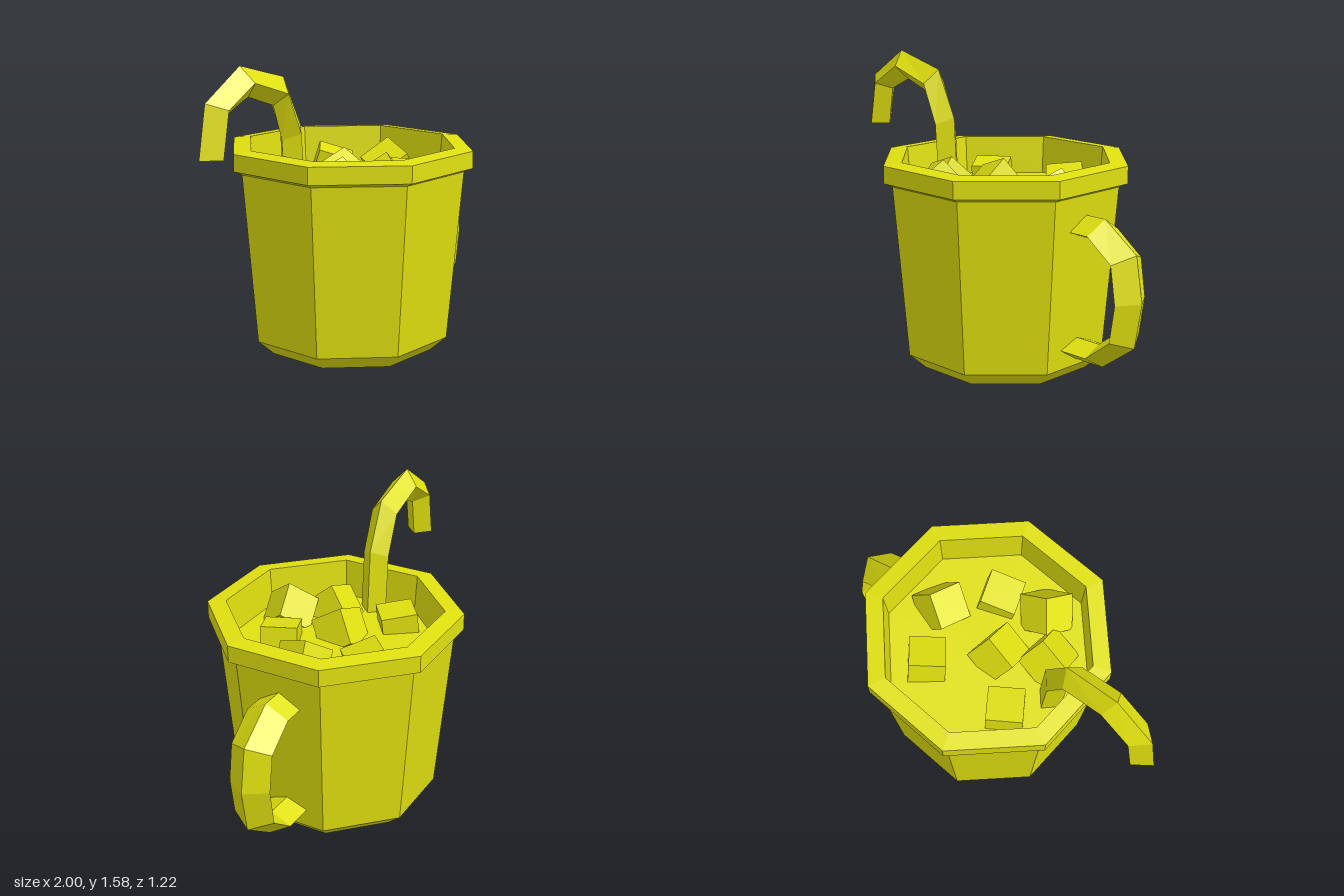
import * as THREE from 'three';

const yellow = new THREE.MeshStandardMaterial({ color: 0xe0e010 });
yellow.name = 'yellow';
yellow.flatShading = true;

const CENTRE_X = 0.08;
const LIQUID_Y = 0.9;
const OCT = 1 / Math.cos(Math.PI / 8); // flat-side distance to corner radius

function addMesh(parent, name, geometry) {
  const mesh = new THREE.Mesh(geometry, yellow);
  mesh.name = name;
  parent.add(mesh);
  return mesh;
}

// Eight-sided solid from [flat-side distance, height] pairs
function octagonLathe(profile) {
  const points = profile.map(([r, y]) => new THREE.Vector2(r * OCT, y));
  return new THREE.LatheGeometry(points, 8, Math.PI / 8);
}

// Diamond-section bar; each row holds outer, side and inner edge points in x, y
function diamondBar(rows, halfWidth) {
  const rings = rows.map(([ox, oy, sx, sy, ix, iy]) => [
    [ox, oy, 0], [sx, sy, halfWidth], [ix, iy, 0], [sx, sy, -halfWidth],
  ]);
  const positions = [];
  const quad = (a, b, c, d) => positions.push(...a, ...b, ...c, ...a, ...c, ...d);
  for (let i = 0; i < rings.length - 1; i++) {
    for (let k = 0; k < 4; k++) {
      const n = (k + 1) % 4;
      quad(rings[i][k], rings[i][n], rings[i + 1][n], rings[i + 1][k]);
    }
  }
  const [a, b, c, d] = rings[0];
  quad(d, c, b, a);
  quad(...rings[rings.length - 1]);
  const geometry = new THREE.BufferGeometry();
  geometry.setAttribute('position', new THREE.Float32BufferAttribute(positions, 3));
  geometry.computeVertexNormals();
  return geometry;
}

export function createModel() {
  const model = new THREE.Group();
  model.name = 'icedDrinkMug';

  // Tapered cup with a chamfered foot, and a projecting rim with inner wall
  const cup = addMesh(model, 'cup', octagonLathe([
    [0, 0], [0.415, 0], [0.497, 0.08], [0.568, 0.98],
  ]));
  const rim = addMesh(model, 'rim', octagonLathe([
    [0.568, 0.98], [0.61, 1.0], [0.61, 1.09], [0.52, 1.1], [0.505, LIQUID_Y - 0.01],
  ]));
  cup.position.x = rim.position.x = CENTRE_X;

  // Drink surface
  const liquid = addMesh(model, 'drinkSurface',
    new THREE.CircleGeometry(0.507 * OCT, 8, Math.PI / 8));
  liquid.rotation.x = -Math.PI / 2;
  liquid.position.set(CENTRE_X, LIQUID_Y, 0);

  // Handle: upper half mirrored about its mid height
  const upper = [
    [0.58, 0.875, 0.58, 0.805, 0.58, 0.76],
    [0.76, 0.875, 0.745, 0.805, 0.735, 0.76],
    [0.96, 0.73, 0.895, 0.69, 0.86, 0.665],
  ];
  const MID = 0.495;
  const lower = upper.map((r) => r.map((v, i) => (i % 2 ? 2 * MID - v : v))).reverse();
  addMesh(model, 'handle', diamondBar(
    [...upper, [1, MID, 0.925, MID, 0.875, MID], ...lower], 0.115));

  // Bent straw, from its free tip over to the drink
  addMesh(model, 'straw', diamondBar([
    [-1, 1.155, -0.91, 1.155, -0.835, 1.155],
    [-0.955, 1.42, -0.87, 1.385, -0.805, 1.355],
    [-0.725, 1.575, -0.695, 1.495, -0.67, 1.42],
    [-0.425, 1.495, -0.465, 1.42, -0.5, 1.36],
    [-0.305, 1.245, -0.375, 1.21, -0.44, 1.18],
    [-0.28, 0.87, -0.35, 0.87, -0.42, 0.87],
  ], 0.073));

  // Ice cubes: x, y, z, turn about y, tilt about x, tilt about z
  const ice = [
    [-0.23, 0.9, -0.21, 0.64, 0.12, 0],
    [0.25, 0.91, -0.28, 0.75, 0.3, 0.1],
    [0.005, 0.92, 0.005, 0.1, 0.55, 0.4],
    [0.405, 0.92, 0, -0.25, 0.35, 0.6],
    [-0.205, 0.92, 0.155, 0.2, 0.7, 0.45],
    [-0.035, 0.94, 0.335, -0.35, 0.6, 0.75],
    [0.21, 0.9, 0.245, 0.4, 0, 0.2],
  ];
  const cube = new THREE.BoxGeometry(0.19, 0.19, 0.19);
  ice.forEach(([x, y, z, turn, tiltX, tiltZ], i) => {
    const mesh = addMesh(model, `iceCube${i + 1}`, cube);
    mesh.position.set(x, y, z);
    mesh.rotation.set(tiltX, turn, tiltZ, 'YXZ');
  });

  return model;
}
